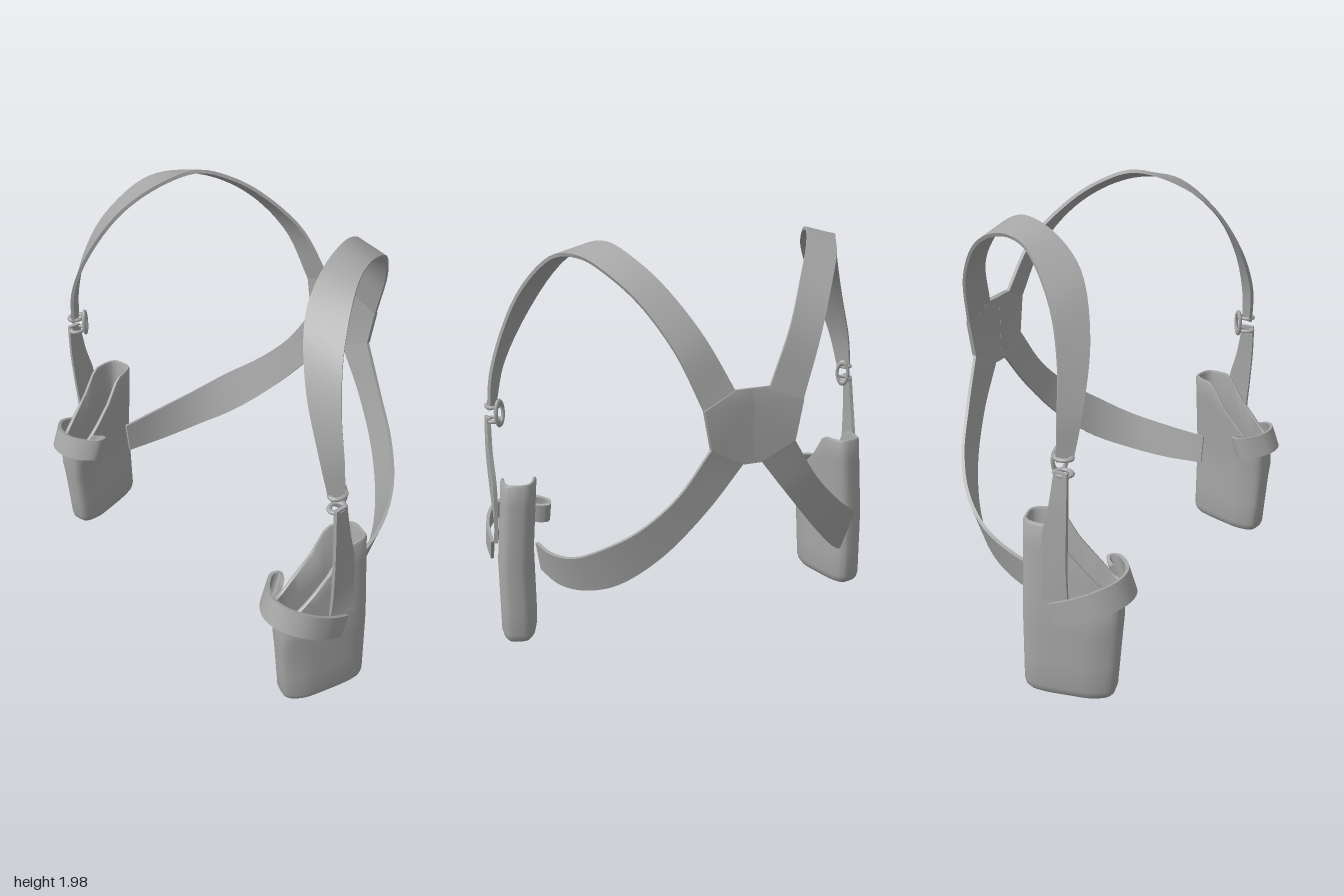
import * as THREE from 'three';
import { toCreasedNormals } from 'three/addons/utils/BufferGeometryUtils.js';

const grey = new THREE.MeshStandardMaterial({ color: 0xa6a6a6 });
grey.name = 'grey leather';

function fromIndexed(pos, idx, crease = 0.6) {
  const g = new THREE.BufferGeometry();
  g.setAttribute('position', new THREE.Float32BufferAttribute(pos, 3));
  g.setIndex(idx);
  return toCreasedNormals(g, crease);
}

// Flat strap of even thickness between two edge lines
function ribbon(edgeA, edgeB, thick, steps = 0) {
  const line = (e) => {
    const v = e.map((p) => new THREE.Vector3(...p));
    return steps ? new THREE.CatmullRomCurve3(v).getPoints(steps) : v;
  };
  const a = line(edgeA), b = line(edgeB), n = a.length, pos = [], idx = [];
  const mid = a.map((p, i) => p.clone().add(b[i]).multiplyScalar(0.5));
  for (let i = 0; i < n; i++) {
    const t = mid[Math.min(i + 1, n - 1)].clone().sub(mid[Math.max(i - 1, 0)]);
    const h = b[i].clone().sub(a[i]).cross(t).setLength(thick / 2);
    for (const [p, s] of [[a, 1], [b, 1], [b, -1], [a, -1]]) pos.push(...p[i].clone().addScaledVector(h, s).toArray());
    if (i < n - 1) for (let j = 0; j < 4; j++) {
      const p = i * 4 + j, q = i * 4 + (j + 1) % 4;
      idx.push(p, q, q + 4, p, q + 4, p + 4);
    }
  }
  const e = (n - 1) * 4;
  idx.push(0, 2, 1, 0, 3, 2, e, e + 1, e + 2, e, e + 2, e + 3);
  return fromIndexed(pos, idx);
}

// Open pouch: rounded cross-sections up the outside, over the rim and down the inside
function pouch() {
  const N = 48, pos = [], idx = [];
  const levels = [
    [0, 0, 0.01], [0, 0.035, 1], [0.008, 0.018, 1], [0.025, 0.006, 1], [0.05, 0, 1], [0.18, 0, 1], [0.33, 0, 1],
    [0.4, 0, 1], [0.5, 0, 1], [0.6, 0, 1], [0.72, 0, 1], [0.82, 0, 1], [0.83, 0.005, 1], [0.83, 0.014, 1],
    [0.82, 0.018, 1], [0.6, 0.018, 1], [0.4, 0.018, 1], [0.06, 0.02, 1], [0.06, 0.02, 0.01],
  ];
  const smooth = THREE.MathUtils.smoothstep;
  const power = (c) => Math.sign(c) * Math.abs(c) ** 0.55;
  const rim = (z) => 0.83 - 0.16 * smooth(z, -0.09, 0.06) - 0.12 * smooth(z, 0.02, 0.2);
  levels.forEach(([lv, inset, scale], i) => {
    const front = 0.2 + 0.03 * Math.min(lv / 0.4, 1), back = -0.207;
    for (let j = 0; j < N; j++) {
      const a = (j / N) * Math.PI * 2;
      const z = (front + back) / 2 + ((front - back) / 2 - inset) * scale * power(Math.sin(a));
      const y = lv <= 0.4 ? lv : THREE.MathUtils.lerp(0.4, rim(z), (lv - 0.4) / 0.43);
      // lower front is slimmer and the mouth leans inward
      const slim = 1 - 0.16 * smooth(z, 0.08, 0.2) * (1 - smooth(y, 0.3, 0.42));
      const x = (0.086 * slim - inset) * scale * power(Math.cos(a)) - 0.035 * Math.max(0, y - 0.4) / 0.43;
      pos.push(x, y, z);
      if (i < levels.length - 1) {
        const p = i * N + j, q = i * N + (j + 1) % N;
        idx.push(p, q + N, q, p, p + N, q + N);
      }
    }
  });
  return fromIndexed(pos, idx, 0.8).rotateY(-0.25).translate(0.86, 0, 0.337);
}

// Mirror a geometry across x, keeping faces outward
function mirrored(geo) {
  const g = geo.index ? geo.toNonIndexed() : geo.clone();
  g.scale(-1, 1, 1);
  for (const k of ['position', 'normal']) {
    const at = g.attributes[k];
    for (let i = 0; i < at.count; i += 3) {
      const p = [at.getX(i + 1), at.getY(i + 1), at.getZ(i + 1)];
      at.setXYZ(i + 1, at.getX(i + 2), at.getY(i + 2), at.getZ(i + 2));
      at.setXYZ(i + 2, ...p);
    }
  }
  return g;
}

export function createModel() {
  const model = new THREE.Group();
  model.name = 'shoulderHarness';
  const left = new THREE.Group(), right = new THREE.Group();
  left.name = 'leftSide';
  right.name = 'rightSide';
  model.add(left, right);
  const add = (name, geo) => {
    for (const [side, g] of [[left, geo], [right, mirrored(geo)]]) {
      const m = new THREE.Mesh(g, grey);
      m.name = name;
      side.add(m);
    }
  };

  // Back plate half
  add('backPlate', ribbon(
    [[0, 1.075, -0.57], [0, 1.16, -0.57], [0, 1.34, -0.57], [0, 1.41, -0.565]],
    [[0.04, 1.075, -0.57], [0.197, 1.16, -0.582], [0.23, 1.34, -0.586], [0.08, 1.41, -0.566]], 0.022));

  // Strap over the shoulder: neck edge, outer edge
  add('shoulderStrap', ribbon(
    [[0.08, 1.405, -0.565], [0.2, 1.64, -0.5], [0.32, 1.83, -0.35], [0.4, 1.92, -0.23], [0.47, 1.973, -0.09],
      [0.53, 1.94, 0.08], [0.61, 1.83, 0.25], [0.74, 1.6, 0.365], [0.86, 1.35, 0.4], [0.912, 1.15, 0.385]],
    [[0.23, 1.34, -0.583], [0.33, 1.58, -0.525], [0.44, 1.77, -0.4], [0.54, 1.88, -0.25], [0.61, 1.925, -0.1],
      [0.69, 1.905, 0.05], [0.8, 1.73, 0.22], [0.88, 1.52, 0.3], [0.935, 1.32, 0.325], [0.953, 1.15, 0.33]], 0.016, 48));

  // Strap round the ribs: upper edge, lower edge
  add('lowerStrap', ribbon(
    [[0.195, 1.16, -0.58], [0.33, 0.95, -0.54], [0.48, 0.79, -0.47], [0.62, 0.67, -0.35], [0.71, 0.58, -0.2],
      [0.765, 0.525, 0], [0.785, 0.5, 0.2]],
    [[0.04, 1.08, -0.57], [0.2, 0.87, -0.545], [0.38, 0.65, -0.47], [0.54, 0.485, -0.34], [0.65, 0.405, -0.19],
      [0.725, 0.36, 0], [0.765, 0.355, 0.2]], 0.016, 36));

  add('holster', pouch());

  // Hanging strap on the outer side of the holster
  add('hangerStrap', ribbon(
    [[0.94, 0.5, 0.37], [0.948, 0.62, 0.37], [0.957, 0.8, 0.378], [0.96, 0.95, 0.384], [0.955, 1.11, 0.385]],
    [[0.972, 0.5, 0.26], [0.962, 0.62, 0.26], [0.958, 0.8, 0.265], [0.96, 0.95, 0.3], [0.955, 1.11, 0.325]], 0.018, 20));

  // Retaining band round the front of the holster, with its end curled back
  const band = [[0.978, 0.44, 0.32], [0.978, 0.49, 0.42], [0.94, 0.535, 0.515], [0.86, 0.557, 0.572], [0.77, 0.56, 0.575],
    [0.695, 0.555, 0.53], [0.655, 0.55, 0.47], [0.668, 0.545, 0.435], [0.7, 0.54, 0.45], [0.725, 0.535, 0.48]];
  const shifted = (s) => band.map(([x, y, z]) => [x, y + 0.053 * s, z - 0.02 * s]);
  add('retainingBand', ribbon(shifted(-1), shifted(1), 0.016, 48));

  // Buckle link and the two loops that hold it
  add('buckleLink', new THREE.TorusGeometry(0.034, 0.01, 8, 28)
    .scale(0.85, 1.6, 1).rotateY(0.75).translate(0.905, 1.135, 0.318));
  for (const y of [1.165, 1.095]) {
    add('buckleLoop', new THREE.TorusGeometry(0.026, 0.009, 8, 24)
      .rotateX(Math.PI / 2).scale(1.1, 1, 1.4).translate(0.93, y, 0.35));
  }
  return model;
}
